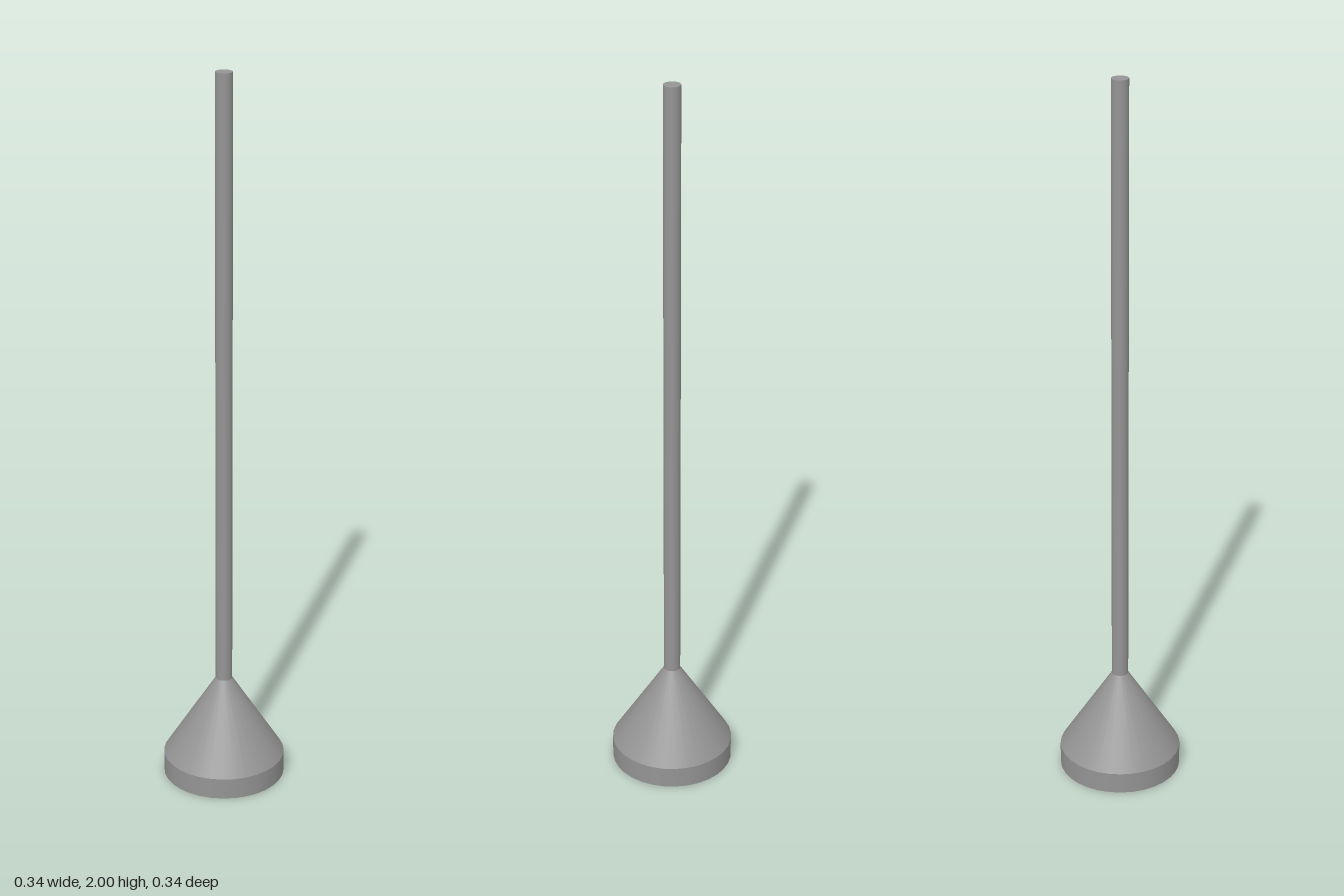
import * as THREE from 'three';
import { mergeGeometries } from 'three/addons/utils/BufferGeometryUtils.js';

const SIDES = 32;

export function createModel() {
  const group = new THREE.Group();
  const material = new THREE.MeshStandardMaterial({ color: 0x949494 });

  // Turns a profile of [radius, height] points; each section is its own
  // smooth band, so the corners between sections stay sharp
  const turned = (name, profile) => {
    const points = profile.map(([r, y]) => new THREE.Vector2(r, y));
    const bands = points.slice(1).map((end, i) => new THREE.LatheGeometry([points[i], end], SIDES));
    const mesh = new THREE.Mesh(mergeGeometries(bands), material);
    mesh.name = name;
    group.add(mesh);
  };

  // Hollow cup: inner cone and wall, bottom lip, outer wall, outer cone
  turned('funnelCup', [
    [0, 0.29], [0.154, 0.06], [0.154, 0], [0.169, 0], [0.169, 0.06], [0.023, 0.29],
  ]);

  // Long straight handle with a flat top
  turned('handle', [[0.023, 0.29], [0.023, 2], [0, 2]]);

  return group;
}
